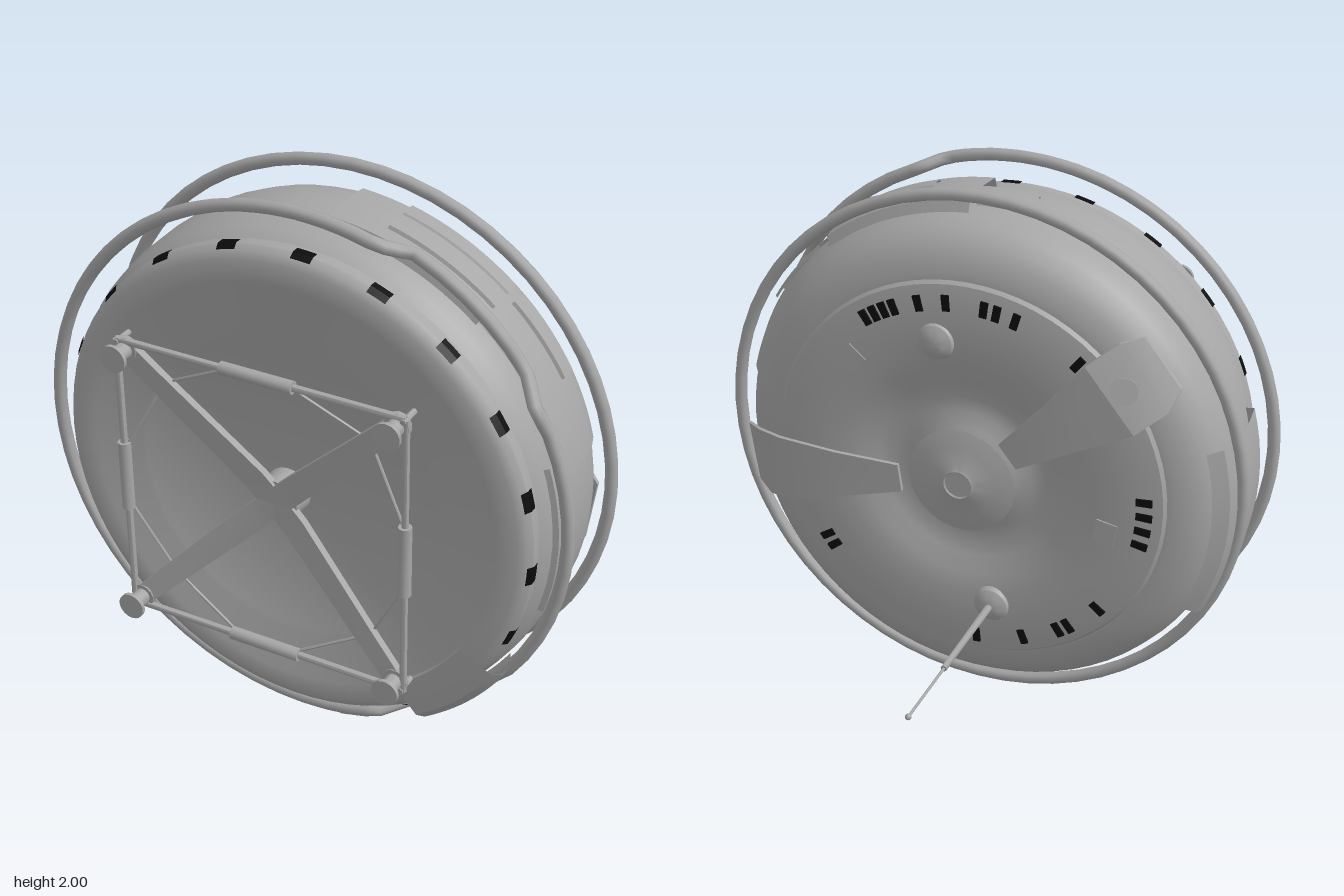
import * as THREE from 'three';
import { toCreasedNormals } from 'three/addons/utils/BufferGeometryUtils.js';

const grey = new THREE.MeshStandardMaterial({ color: 0xa6a6a6 });
grey.name = 'hull grey';
const greyThin = grey;
greyThin.side = THREE.DoubleSide;
const black = new THREE.MeshStandardMaterial({ color: 0x0c0c0c });
black.name = 'window black';

const rad = THREE.MathUtils.degToRad;
const V = (x, y, z) => new THREE.Vector3(x, y, z);

export function createModel() {
  const model = new THREE.Group();
  const craft = new THREE.Group(); // origin on the hull axis
  craft.name = 'craft';
  craft.position.y = 1.03;
  model.add(craft);

  function add(name, geo, mat = grey, parent = craft) {
    const mesh = new THREE.Mesh(geo, mat);
    mesh.name = name;
    parent.add(mesh);
    return mesh;
  }

  // Surface turned about z from [radius, z] pairs listed back to front; angles from +x
  function turned(profile, from = 0, to = 360, segments = 64, crease = 30) {
    const g = new THREE.LatheGeometry(profile.map(([r, z]) => new THREE.Vector2(r, z)),
      segments, rad(from + 90), rad(to - from));
    g.rotateX(Math.PI / 2);
    return toCreasedNormals(g, rad(crease));
  }

  // Round bar between two points
  function bar(name, a, b, r0, r1 = r0, sides = 8, parent = craft) {
    const d = b.clone().sub(a);
    const mesh = add(name, toCreasedNormals(new THREE.CylinderGeometry(r1, r0, d.length(), sides), rad(50)), grey, parent);
    mesh.position.copy(a).addScaledVector(d, 0.5);
    mesh.quaternion.setFromUnitVectors(V(0, 1, 0), d.normalize());
    return mesh;
  }

  // Bent plate running outward: stations are [radius, half width, z]
  function plate(name, stations, angle, thick) {
    const n = stations.length - 1;
    const g = new THREE.BoxGeometry(n, 2, thick, n, 1, 1);
    const p = g.attributes.position;
    for (let i = 0; i < p.count; i++) {
      const [r, w, z] = stations[Math.round(p.getX(i) + n / 2)];
      p.setXYZ(i, r, p.getY(i) * w, z + p.getZ(i));
    }
    const mesh = add(name, toCreasedNormals(g, rad(20)));
    mesh.rotation.z = rad(angle);
    return mesh;
  }

  // Tube along straight pieces
  function pipe(name, points, radius, closed, steps, parent = craft) {
    const path = new THREE.CurvePath();
    points.forEach((a, i) => {
      if (i < points.length - 1 || closed) path.add(new THREE.LineCurve3(a, points[(i + 1) % points.length]));
    });
    return add(name, new THREE.TubeGeometry(path, steps, radius, 8, closed), grey, parent);
  }

  // Hull
  add('hull', turned([
    [0, -0.06], [0.12, -0.055], [0.17, -0.03], [0.22, -0.01], [0.27, -0.005], [0.33, -0.02],
    [0.39, -0.045], [0.46, -0.058], [0.55, -0.06], [0.64, -0.055], [0.69, -0.045], [0.7, -0.032],
    [0.72, -0.03], [0.78, -0.01], [0.82, 0.02], [0.85, 0.06], [0.868, 0.12], [0.875, 0.22],
    [0.872, 0.34], [0.86, 0.42], [0.838, 0.455], [0.838, 0.495], [0.825, 0.515], [0.8, 0.528],
    [0.73, 0.53], [0.715, 0.522], [0.55, 0.522], [0.535, 0.514], [0, 0.514]], 0, 360, 72));

  // Windows round the front rim
  for (let i = 0; i < 20; i++) {
    const a = 86 + i * 18;
    if (Math.abs(a - 320) < 10) continue;
    add('rimWindow', turned([[0.842, 0.472], [0.842, 0.497], [0.828, 0.517]], a - 2.3, a + 2.3, 2), black);
  }

  // Windows on the back
  for (const a of [56, 59.5, 63, 66.5, 75, 84, 96, 100, 106, 128, 176, 181, 186, 191, 220, 233, 237, 250, 266, 322, 326]) {
    const mesh = add('backWindow', new THREE.BoxGeometry(0.055, 0.026, 0.008), black);
    mesh.position.set(0.63 * Math.cos(rad(a)), 0.63 * Math.sin(rad(a)), -0.058);
    mesh.rotation.z = rad(a);
  }

  // Small square hatches on the back
  for (const [x, y, turn] of [[0.41, 0.36, 40], [-0.5, -0.1, 10]]) {
    const mesh = add('backHatch', new THREE.BoxGeometry(0.075, 0.085, 0.008));
    mesh.position.set(x, y, -0.06);
    mesh.rotation.z = rad(turn);
  }

  // Side panels wrapped around the hull
  const panels = [
    ['topPanel', 50, 86, [[0.87, 0.12], [0.905, 0.135], [0.915, 0.24], [0.905, 0.35], [0.87, 0.36]]],
    ['topPlateInner', 50, 75, [[0.915, 0.14], [0.921, 0.145], [0.921, 0.2], [0.915, 0.205]]],
    ['topPlateOuter', 50, 75, [[0.915, 0.235], [0.921, 0.24], [0.921, 0.295], [0.91, 0.3]]],
    ['topHatch', 86, 97, [[0.872, 0.185], [0.882, 0.19], [0.882, 0.32], [0.872, 0.325]]],
    ['upperSidePanel', 13, 50, [[0.79, -0.01], [0.83, 0.02], [0.86, 0.06], [0.884, 0.13], [0.89, 0.22], [0.886, 0.33], [0.87, 0.345]]],
    ['sideHatch', 30, 48, [[0.886, 0.11], [0.896, 0.115], [0.898, 0.175], [0.886, 0.18]]],
    ['sideStrip', -17, 18, [[0.87, 0.32], [0.885, 0.325], [0.88, 0.405], [0.86, 0.41]]],
    ['oppositeSidePanel', 164, 206, [[0.84, 0.0], [0.89, 0.03], [0.915, 0.08], [0.92, 0.2], [0.905, 0.33], [0.87, 0.34]]],
    ['frontFlap', -57, -32, [[0.87, 0.4], [0.895, 0.44], [0.895, 0.5], [0.865, 0.532], [0.8, 0.542], [0.735, 0.54], [0.73, 0.53]]],
  ];
  for (const [name, a, b, profile] of panels) add(name, turned(profile, a, b, 12), greyThin);

  // Guard rails, the front one stepping back beside two panels
  const rails = new THREE.Group();
  rails.name = 'guardRails';
  rails.position.y = 0.03;
  craft.add(rails);
  const rail = (name, zAt) => pipe(name, Array.from({ length: 60 }, (_, i) => {
    const a = i * 6;
    return V(0.917 * Math.cos(rad(a)), 0.917 * Math.sin(rad(a)), zAt(a));
  }), 0.022, true, 120, rails);
  const dip = (a, from, to) =>
    THREE.MathUtils.smoothstep(a, from - 6, from) * (1 - THREE.MathUtils.smoothstep(a, to, to + 6));
  rail('backRail', () => 0.08);
  rail('frontRail', (a) => 0.455 - 0.065 * (dip(a, 36, 66) + dip(a, 294, 318))
    - 0.03 * (dip(a, 324, 354) + (a < 36 ? 1 - THREE.MathUtils.smoothstep(a, 24, 36) : 0)));

  // Loop handle underneath
  pipe('bottomHandle', [V(-0.15, -0.84, 0.32), V(-0.15, -0.95, 0.32), V(-0.1, -1.008, 0.32),
    V(0.1, -1.008, 0.32), V(0.15, -0.95, 0.32), V(0.15, -0.84, 0.32)], 0.02, false, 40);
  for (const s of [-1, 1]) bar('handleSocket', V(s * 0.15, -0.89, 0.32), V(s * 0.15, -0.84, 0.32), 0.03);

  // Cap in the middle of the back
  add('backCap', turned([[0, -0.118], [0.045, -0.118], [0.05, -0.122], [0.06, -0.116],
    [0.13, -0.105], [0.19, -0.088], [0.185, -0.08], [0.08, -0.07], [0.08, -0.03]], 0, 360, 40));

  // Domes and the antenna
  for (const s of [1, -1]) {
    add('backDome', turned([[0, -0.088], [0.035, -0.084], [0.06, -0.07], [0.07, -0.045]], 0, 360, 24))
      .position.set(0.1 * s, 0.485 * s, 0);
  }
  bar('antennaBase', V(-0.1, -0.485, -0.06), V(-0.1, -0.485, -0.47), 0.013, 0.011);
  bar('antennaRod', V(-0.1, -0.485, -0.46), V(-0.1, -0.485, -0.75), 0.005);
  add('antennaTip', new THREE.SphereGeometry(0.011, 10, 8)).position.set(-0.1, -0.485, -0.75);

  // Two bent fins across the back
  plate('sideFin', [[0.22, 0.05, -0.1], [0.45, 0.085, -0.108], [0.66, 0.12, -0.1], [0.76, 0.125, -0.06], [0.84, 0.11, 0.01]], -8, 0.014);
  plate('upperFin', [[0.22, 0.05, -0.1], [0.45, 0.09, -0.108], [0.66, 0.135, -0.1], [0.78, 0.135, -0.05], [0.84, 0.1, 0.0]], 141, 0.014);
  const disc = add('finDisc', turned([[0, -0.006], [0.045, -0.006], [0.045, 0]], 0, 360, 16));
  disc.position.set(-0.555, 0.45, -0.088);
  disc.rotation.set(0.25, 0.3, 0);

  // Front landing frame
  bar('frameHub', V(0, 0, 0.51), V(0, 0, 0.595), 0.08, 0.075, 20);
  for (let i = 0; i < 4; i++) {
    const quarter = new THREE.Group();
    quarter.name = 'frameQuarter';
    quarter.rotation.z = i * Math.PI / 2;
    craft.add(quarter);
    // Arm
    quarter.add(plate('frameArm', [[0, 0.045, 0.592], [0.1, 0.045, 0.595], [0.5, 0.037, 0.655], [0.68, 0.034, 0.68]], 45, 0.026));
    // Foot with its pad and pin
    bar('footPost', V(0.47, 0.47, 0.66), V(0.47, 0.47, 0.75), 0.028, 0.028, 14, quarter);
    bar('footPad', V(0.47, 0.47, 0.745), V(0.47, 0.47, 0.758), 0.046, 0.046, 18, quarter);
    bar('footCollar', V(0.47, 0.47, 0.67), V(0.47, 0.47, 0.69), 0.042, 0.042, 14, quarter);
    bar('cornerPin', V(0.495, 0.495, 0.625), V(0.495, 0.495, 0.7), 0.01, 0.01, 8, quarter);
    // Side rod with its sleeve and braces
    bar('sideRod', V(0.5, -0.5, 0.685), V(0.5, 0.5, 0.685), 0.012, 0.012, 8, quarter);
    bar('rodSleeve', V(0.5, -0.125, 0.685), V(0.5, 0.125, 0.685), 0.022, 0.022, 10, quarter);
    for (const s of [-1, 1]) {
      bar('rodBrace', V(0.5, s * 0.1, 0.68), V(0.36, s * 0.36, 0.64), 0.005, 0.005, 6, quarter);
    }
  }
  return model;
}
